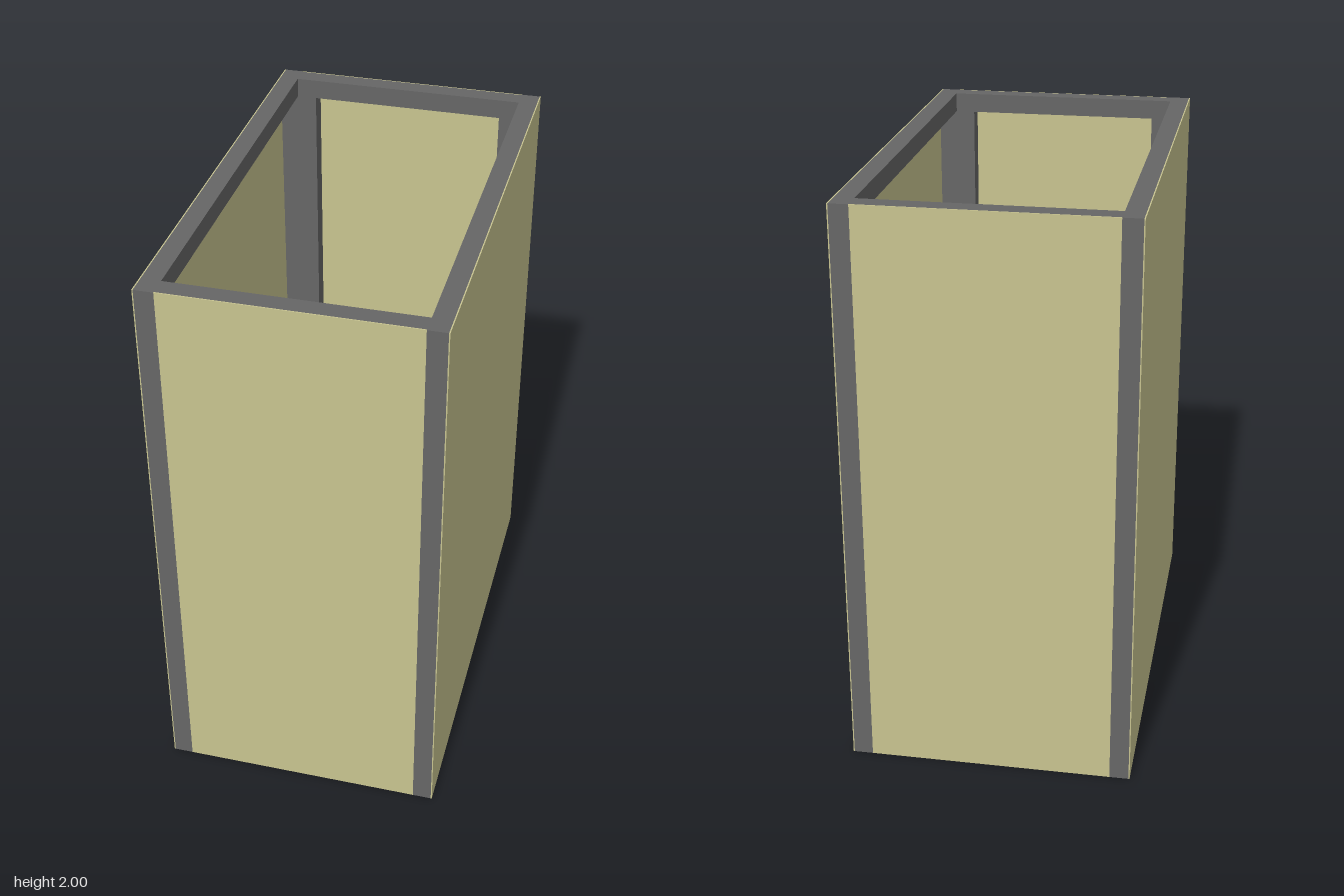
import * as THREE from 'three';

const HEIGHT = 2, BAR = 0.07, SKIN = 0.004;
const frameMat = new THREE.MeshStandardMaterial({ color: 0x666666 });
const panelMat = new THREE.MeshStandardMaterial({ color: 0xc8c490 });

function box(name, w, h, d, x, y, z, mat) {
  const mesh = new THREE.Mesh(new THREE.BoxGeometry(w, h, d), mat);
  mesh.name = name;
  mesh.position.set(x, y, z);
  return mesh;
}

// One wall: a square-bar frame with a thin skin on its outer (+z) face at z = 0
function wall(name, width) {
  const g = new THREE.Group();
  g.name = name;
  const depth = BAR - SKIN;
  const z = -SKIN - depth / 2;
  for (const s of [-1, 1]) {
    g.add(box('stile', BAR, HEIGHT - 2 * BAR, depth, s * (width - BAR) / 2, HEIGHT / 2, z, frameMat));
    g.add(box('rail', width, BAR, depth, 0, HEIGHT / 2 + s * (HEIGHT - BAR) / 2, z, frameMat));
  }
  g.add(box('panel', width, HEIGHT, SKIN, 0, HEIGHT / 2, -SKIN / 2, panelMat));
  return g;
}

export function createModel() {
  const model = new THREE.Group();
  model.name = 'openPanelBox';
  const halfX = 0.49, halfZ = 0.825;

  // Long side walls cover the ends of the short walls
  for (const [name, s] of [['leftWall', 1], ['rightWall', -1]]) {
    const side = wall(name, 2 * halfZ);
    side.rotation.y = s * Math.PI / 2;
    side.position.x = s * halfX;
    model.add(side);
  }

  // Short walls fit between the side walls
  for (const [name, s] of [['frontWall', 1], ['backWall', -1]]) {
    const end = wall(name, 2 * (halfX - BAR));
    end.rotation.y = s > 0 ? 0 : Math.PI;
    end.position.z = s * halfZ;
    model.add(end);
  }
  return model;
}
